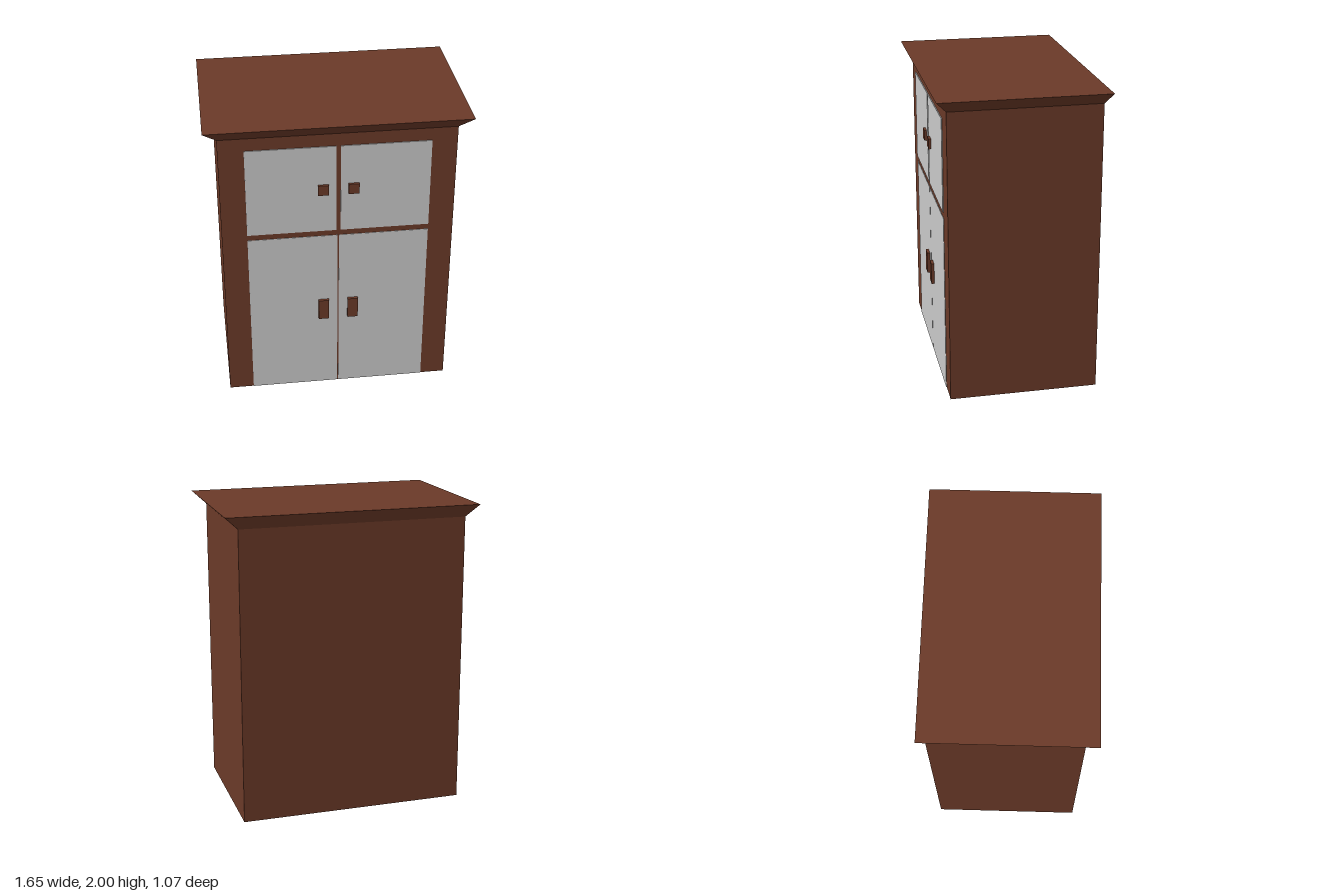
import * as THREE from 'three';

const wood = new THREE.MeshStandardMaterial({ color: 0x6b3a28, flatShading: true });
const grey = new THREE.MeshStandardMaterial({ color: 0xcccccc, flatShading: true });

const BACK = -0.5, FRONT = 0.467, HALF_W = 0.74, BODY_TOP = 1.92;

// Box given by its lower and upper corners
function box(name, material, [x0, y0, z0], [x1, y1, z1]) {
  const mesh = new THREE.Mesh(new THREE.BoxGeometry(x1 - x0, y1 - y0, z1 - z0), material);
  mesh.position.set((x0 + x1) / 2, (y0 + y1) / 2, (z0 + z1) / 2);
  mesh.name = name;
  return mesh;
}

// Cornice: a box whose top corners flare out past the body
function cornice() {
  const geo = new THREE.BoxGeometry(2, 1, 2);
  const p = geo.attributes.position;
  for (let i = 0; i < p.count; i++) {
    const top = p.getY(i) > 0;
    const x = Math.sign(p.getX(i)) * (top ? 0.825 : HALF_W);
    const z = p.getZ(i) > 0 ? (top ? 0.537 : FRONT) : (top ? -0.537 : BACK);
    p.setXYZ(i, x, top ? 2 : BODY_TOP, z);
  }
  geo.computeVertexNormals();
  const mesh = new THREE.Mesh(geo, wood);
  mesh.name = 'cornice';
  return mesh;
}

export function createModel() {
  const cabinet = new THREE.Group();
  cabinet.name = 'cabinet';
  cabinet.add(box('body', wood, [-HALF_W, 0, BACK], [HALF_W, BODY_TOP, FRONT]), cornice());

  // Door panels and handles, one pair per row
  const rows = [
    { name: 'upper', gap: 0.014, y: [1.23, 1.836], handle: [1.5, 1.57], proud: 0.006 },
    { name: 'lower', gap: 0.004, y: [0, 1.19], handle: [0.546, 0.693], proud: 0.003 },
  ];
  for (const { name, gap, y, handle, proud } of rows) {
    for (const side of [-1, 1]) {
      const label = name + (side > 0 ? 'Left' : 'Right');
      const span = (a, b) => (side > 0 ? [a, b] : [-b, -a]);
      const [d0, d1] = span(gap, 0.58);
      const [h0, h1] = span(0.062, 0.13);
      cabinet.add(
        box(label + 'Door', grey, [d0, y[0], FRONT - 0.01], [d1, y[1], FRONT + proud]),
        box(label + 'Handle', wood, [h0, handle[0], FRONT], [h1, handle[1], 0.489]),
      );
    }
  }
  return cabinet;
}
